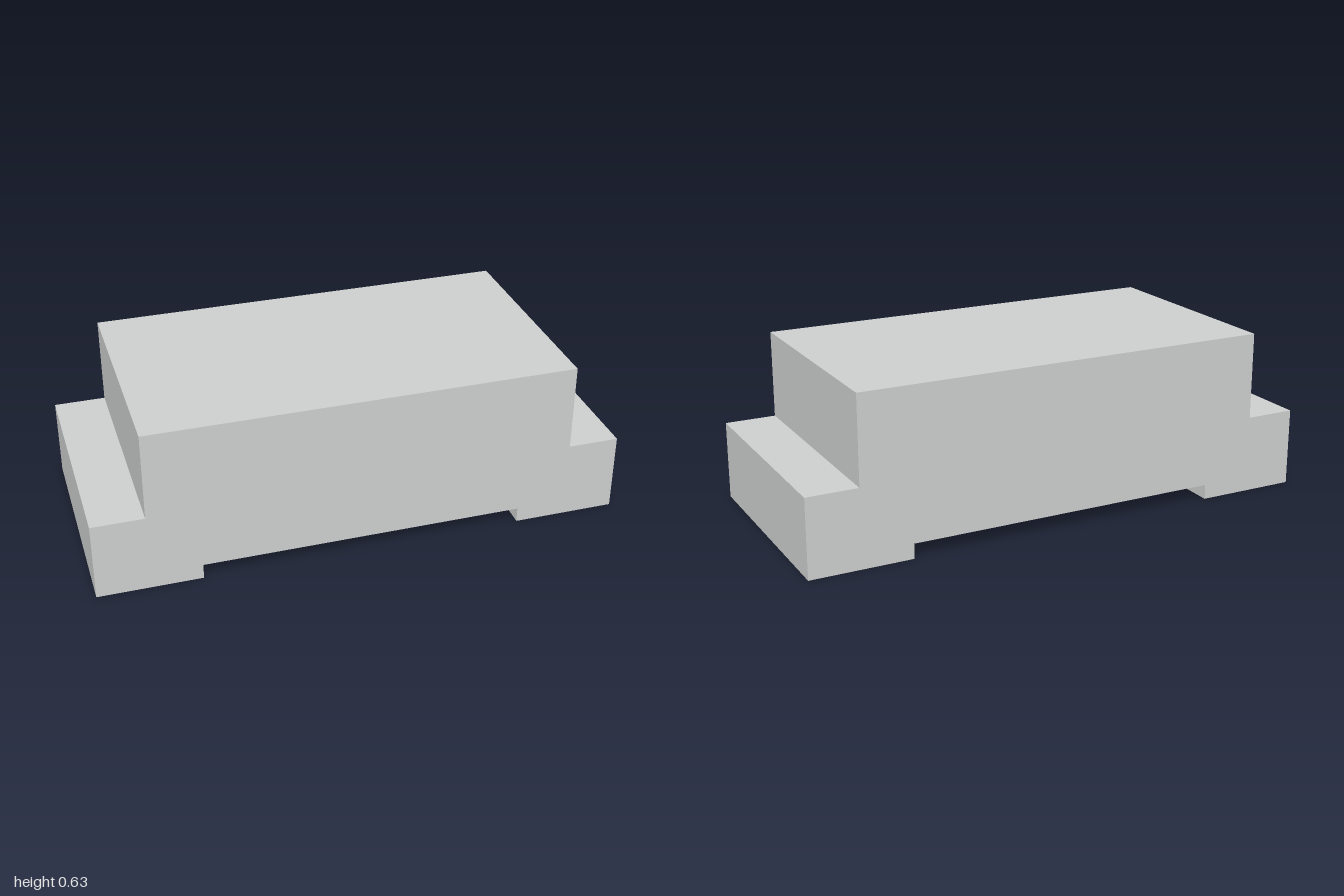
import * as THREE from 'three';

export function createModel() {
  const group = new THREE.Group();
  group.name = 'steppedBlock';
  const lightGrey = new THREE.MeshStandardMaterial({ color: 0xcccdcd });
  lightGrey.name = 'lightGrey';

  // Right half of the profile, from the underside recess up to the top, then mirrored
  const half = [[0.61, 0.057], [0.61, 0], [1, 0], [1, 0.299], [0.805, 0.299], [0.805, 0.633]];
  const mirrored = half.map(([x, y]) => [-x, y]).reverse();
  const profile = new THREE.Shape([...half, ...mirrored].map(([x, y]) => new THREE.Vector2(x, y)));

  // Stepped body with two shoulders and two feet
  const depth = 0.873;
  const geometry = new THREE.ExtrudeGeometry(profile, { depth, bevelEnabled: false });
  geometry.translate(0, 0, -depth / 2);
  const body = new THREE.Mesh(geometry, lightGrey);
  body.name = 'body';
  group.add(body);
  return group;
}
